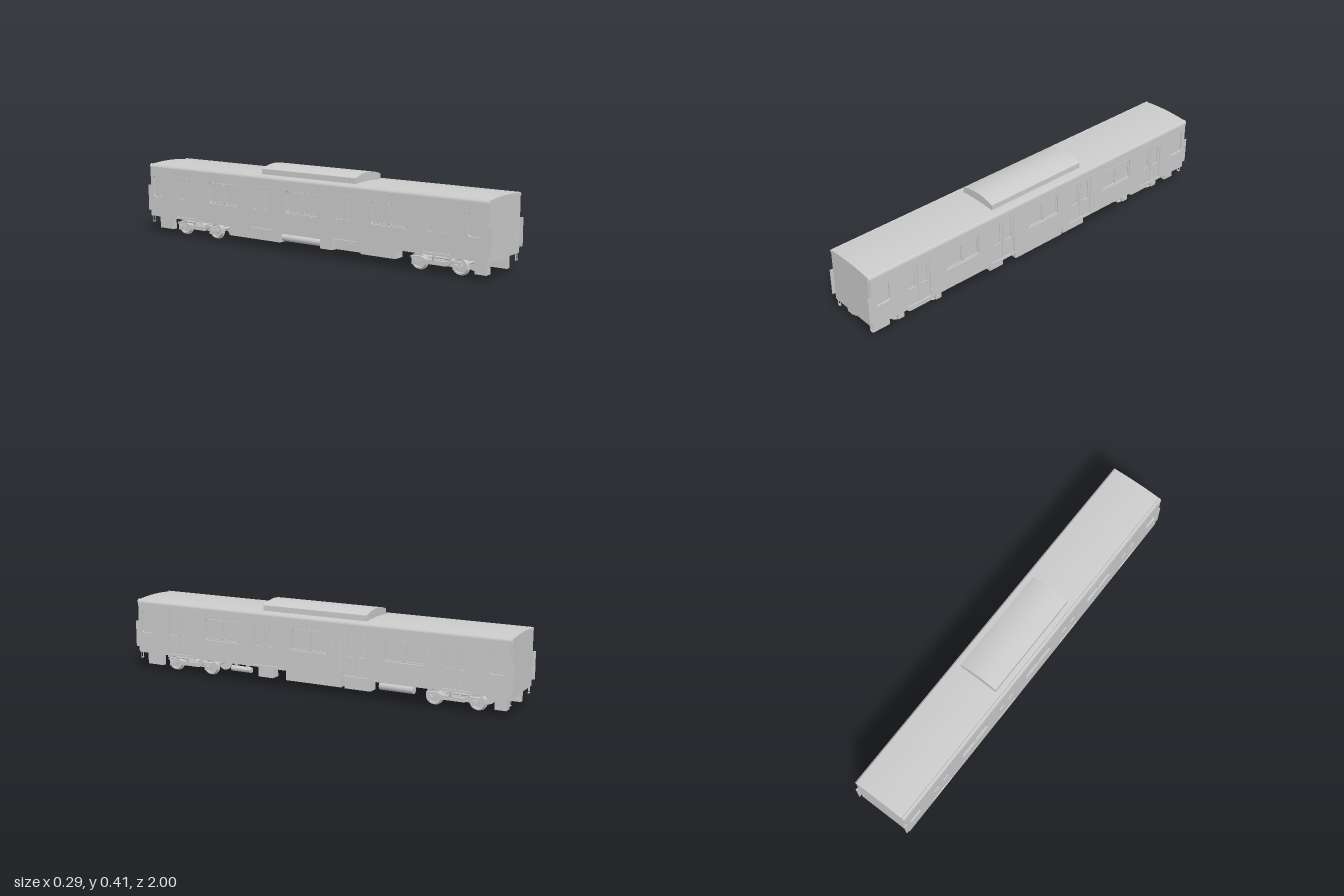
import * as THREE from 'three';
import { toCreasedNormals } from 'three/addons/utils/BufferGeometryUtils.js';

const mat = new THREE.MeshStandardMaterial({ color: 0xcccccc });

function add(parent, name, geo, x = 0, y = 0, z = 0) {
  const m = new THREE.Mesh(geo, mat);
  m.name = name;
  m.position.set(x, y, z);
  parent.add(m);
  return m;
}
// box given by its limits
function box(parent, name, x0, x1, y0, y1, z0, z1) {
  return add(parent, name, new THREE.BoxGeometry(x1 - x0, y1 - y0, z1 - z0),
    (x0 + x1) / 2, (y0 + y1) / 2, (z0 + z1) / 2);
}
// cylinder along z or x
function rod(parent, name, axis, r, len, x, y, z, seg = 20) {
  const g = new THREE.CylinderGeometry(r, r, len, seg);
  if (axis === 'z') g.rotateX(Math.PI / 2); else g.rotateZ(Math.PI / 2);
  return add(parent, name, g, x, y, z);
}
// outline of a rounded rectangle, centred on (cx, cy)
function rounded(path, cx, cy, w, h, r) {
  const a = w / 2 - r, b = h / 2 - r;
  path.absarc(cx + a, cy + b, r, 0, Math.PI / 2);
  path.absarc(cx - a, cy + b, r, Math.PI / 2, Math.PI);
  path.absarc(cx - a, cy - b, r, Math.PI, Math.PI * 1.5);
  path.absarc(cx + a, cy - b, r, Math.PI * 1.5, Math.PI * 2);
  path.closePath();
  return path;
}
// flat panel in the side plane (u along the car, y up), from x0 outwards
function panel(shape, x0, depth) {
  return new THREE.ExtrudeGeometry(shape, { depth, bevelEnabled: false, curveSegments: 5 })
    .rotateY(Math.PI / 2).translate(x0, 0, 0);
}
// profile in x/y extruded along the whole length
function along(points, len) {
  const g = new THREE.ExtrudeGeometry(new THREE.Shape(points), { depth: len, bevelEnabled: false });
  return toCreasedNormals(g.translate(0, 0, -len / 2), 0.5);
}
// shallow arch from x = w to x = -w
function arch(w, edge, crown, n = 16) {
  return Array.from({ length: n + 1 }, (_, i) => {
    const t = 1 - (2 * i) / n;
    return new THREE.Vector2(w * t, crown - (crown - edge) * t * t);
  });
}
const v = (x, y) => new THREE.Vector2(x, y);

const DOORS = [-0.735, -0.245, 0.245, 0.735];
const WINDOWS = [-0.485, 0, 0.485];

function createSide() {
  const side = new THREE.Group();
  side.name = 'carSide';
  // outer skin with door and window openings
  const skin = new THREE.Shape([v(-0.983, 0.092), v(0.983, 0.092), v(0.983, 0.346), v(-0.983, 0.346)]);
  for (const u of DOORS) skin.holes.push(rounded(new THREE.Path(), u, 0.206, 0.135, 0.206, 0.006));
  for (const u of WINDOWS) skin.holes.push(rounded(new THREE.Path(), u, 0.247, 0.195, 0.106, 0.012));
  for (const u of [-0.925, 0.925]) skin.holes.push(rounded(new THREE.Path(), u, 0.247, 0.075, 0.106, 0.012));
  add(side, 'sideWall', panel(skin, 0.134, 0.008));

  // sliding door leaves with narrow windows and handles
  for (const u of DOORS) {
    for (const s of [-1, 1]) {
      const leaf = rounded(new THREE.Shape(), u + s * 0.034, 0.206, 0.065, 0.204, 0.003);
      leaf.holes.push(rounded(new THREE.Path(), u + s * 0.034, 0.245, 0.036, 0.1, 0.006));
      add(side, 'doorLeaf', panel(leaf, 0.134, 0.005));
      box(side, 'doorHandle', 0.138, 0.1405, 0.172, 0.18, -u - s * 0.012 - 0.003, -u - s * 0.012 + 0.003);
    }
    box(side, 'doorSill', 0.138, 0.143, 0.098, 0.102, -u - 0.0675, -u + 0.0675);
  }
  // sash frames of the paired windows
  for (const u of WINDOWS) {
    for (const s of [-1, 1]) {
      const sash = rounded(new THREE.Shape(), u + s * 0.048, 0.247, 0.094, 0.102, 0.01);
      sash.holes.push(rounded(new THREE.Path(), u + s * 0.048, 0.247, 0.082, 0.09, 0.008));
      add(side, 'windowSash', panel(sash, 0.134, 0.005));
    }
  }
  // rain strip and indicator housing above the rear window
  box(side, 'rainStrip', 0.14, 0.1435, 0.298, 0.305, -0.58, -0.395);
  box(side, 'indicatorHousing', 0.138, 0.1435, 0.322, 0.337, -0.47, -0.405);

  for (const s of [-1, 1]) {
    // shield plate past each end, and the step loop below it
    box(side, 'endShield', 0.138, 0.1425, 0.12, 0.25, Math.min(s * 0.968, s), Math.max(s * 0.968, s));
    const z = s * 0.98;
    for (const x of [0.116, 0.13]) box(side, 'stepHanger', x - 0.0012, x + 0.0012, 0.058, 0.094, z - 0.0015, z + 0.0015);
    box(side, 'stepTread', 0.115, 0.131, 0.058, 0.061, z - 0.004, z + 0.004);
  }
  return side;
}

function createBogie() {
  const bogie = new THREE.Group();
  bogie.name = 'bogie';
  // wheel profile: flange inside, slightly coned tread, dished web
  const wheelGeo = toCreasedNormals(new THREE.LatheGeometry([
    v(0, -0.01), v(0.033, -0.01), v(0.043, -0.01), v(0.043, -0.006), v(0.039, -0.003),
    v(0.037, 0.01), v(0.03, 0.01), v(0.028, 0.005), v(0.014, 0.005), v(0.012, 0.011), v(0, 0.011),
  ], 28), 0.5).rotateZ(-Math.PI / 2);
  for (const z of [-0.105, 0.105]) {
    rod(bogie, 'axle', 'x', 0.007, 0.19, 0, 0.043, z, 14);
    for (const s of [-1, 1]) {
      const wheel = add(bogie, 'wheel', wheelGeo, s * 0.065, 0.043, z);
      if (s < 0) wheel.rotation.y = Math.PI;
      box(bogie, 'axleBox', s * 0.095 - 0.01, s * 0.095 + 0.01, 0.03, 0.056, z - 0.016, z + 0.016);
      rod(bogie, 'axleCap', 'x', 0.01, 0.006, s * 0.106, 0.043, z, 14);
      for (const d of [-0.014, 0.014])
        add(bogie, 'axleSpring', new THREE.CylinderGeometry(0.006, 0.006, 0.014, 12), s * 0.095, 0.06, z + d);
    }
  }
  // side frames, dropped in the middle
  const frame = new THREE.Shape([v(-0.13, 0.058), v(-0.08, 0.058), v(-0.055, 0.04), v(0.055, 0.04),
    v(0.08, 0.058), v(0.13, 0.058), v(0.13, 0.068), v(0.075, 0.07), v(0.05, 0.06),
    v(-0.05, 0.06), v(-0.075, 0.07), v(-0.13, 0.068)]);
  for (const s of [-1, 1]) {
    add(bogie, 'sideFrame', panel(frame, s * 0.095 - 0.008, 0.016));
    add(bogie, 'airSpring', new THREE.CylinderGeometry(0.019, 0.022, 0.034, 20), s * 0.09, 0.076, 0);
    rod(bogie, 'damper', 'z', 0.005, 0.07, s * 0.108, 0.078, 0.04, 12);
    box(bogie, 'damperBracket', s * 0.104 - 0.006, s * 0.104 + 0.006, 0.07, 0.094, 0.066, 0.08);
    // tread brakes inside the wheelbase
    for (const t of [-1, 1])
      box(bogie, 'brakeUnit', s * 0.065 - 0.008, s * 0.065 + 0.008, 0.035, 0.058, t * 0.054 - 0.008, t * 0.054 + 0.008);
  }
  box(bogie, 'bolster', -0.095, 0.095, 0.042, 0.064, -0.03, 0.03);
  box(bogie, 'centrePivot', -0.03, 0.03, 0.06, 0.093, -0.025, 0.025);
  for (const s of [-1, 1])
    box(bogie, 'tractionMotor', -0.04, 0.04, 0.026, 0.06, s * 0.062 - 0.026, s * 0.062 + 0.026);
  return bogie;
}

function createCarEnd() {
  const end = new THREE.Group();
  end.name = 'carEnd';
  // equipment boxes at the corners
  box(end, 'cornerBox', 0.075, 0.1, 0.025, 0.094, 0.87, 0.96);
  box(end, 'cornerBox', -0.1, -0.06, 0.025, 0.094, 0.9, 0.955);
  // open coupler pocket and drawbar
  for (const s of [-1, 1]) {
    box(end, 'couplerRail', s * 0.03 - 0.004, s * 0.03 + 0.004, 0.074, 0.094, 0.89, 0.975);
    box(end, 'hoseBracket', s * 0.052 - 0.006, s * 0.052 + 0.006, 0.078, 0.094, 0.955, 0.975);
  }
  for (const z of [0.89, 0.967]) box(end, 'couplerCrossbar', -0.034, 0.034, 0.074, 0.094, z, z + 0.008);
  box(end, 'drawbar', -0.008, 0.008, 0.076, 0.088, 0.89, 0.983);
  return end;
}

export function createModel() {
  const car = new THREE.Group();
  car.name = 'railCar';

  // body core between the side skins, then the roof with its gutters
  add(car, 'bodyCore', along([v(-0.134, 0.092), v(0.134, 0.092), v(0.134, 0.35), v(-0.134, 0.35)], 1.976));
  add(car, 'roof', along([v(-0.142, 0.345), v(0.142, 0.345), v(0.1415, 0.35), v(0.139, 0.354), v(0.132, 0.3615),
    v(0.129, 0.3615), ...arch(0.127, 0.358, 0.365), v(-0.129, 0.3615), v(-0.132, 0.3615),
    v(-0.139, 0.354), v(-0.1415, 0.35)], 1.976));
  add(car, 'roofUnit', along([v(-0.101, 0.355), v(0.101, 0.355), ...arch(0.101, 0.387, 0.406)], 0.55));

  // both ends and sides are the same under a half turn
  for (const turn of [0, Math.PI]) {
    for (const part of [createSide(), createCarEnd()]) {
      part.rotation.y = turn;
      car.add(part);
    }
    const bogie = createBogie();
    bogie.position.z = turn ? -0.705 : 0.705;
    bogie.rotation.y = turn;
    car.add(bogie);
  }

  // underfloor equipment: x0, x1, y0, y1, z0, z1
  const cases = [
    [0.055, 0.115, 0.037, 0.094, -0.15, 0.145],
    [0.055, 0.11, 0.034, 0.094, -0.3, -0.165],
    [0.06, 0.11, 0.036, 0.094, 0.22, 0.3],
    [-0.11, -0.05, 0.042, 0.094, 0.31, 0.5],
    [-0.085, -0.03, 0.042, 0.094, 0.15, 0.31],
    [-0.11, -0.05, 0.04, 0.094, 0.08, 0.15],
    [-0.11, -0.05, 0.04, 0.094, -0.48, -0.16],
  ];
  for (const c of cases) box(car, 'equipmentCase', ...c);
  // air tanks: radius, length, x, y, z, with hangers to the floor
  for (const [r, len, x, y, z] of [[0.02, 0.17, 0.085, 0.064, -0.425],
    [0.014, 0.11, 0.085, 0.055, 0.41], [0.018, 0.24, -0.08, 0.062, -0.04]]) {
    rod(car, 'airTank', 'z', r, len, x, y, z);
    for (const s of [-1, 1])
      box(car, 'tankHanger', x - 0.01, x + 0.01, y, 0.094, z + s * len * 0.3 - 0.004, z + s * len * 0.3 + 0.004);
  }
  return car;
}
